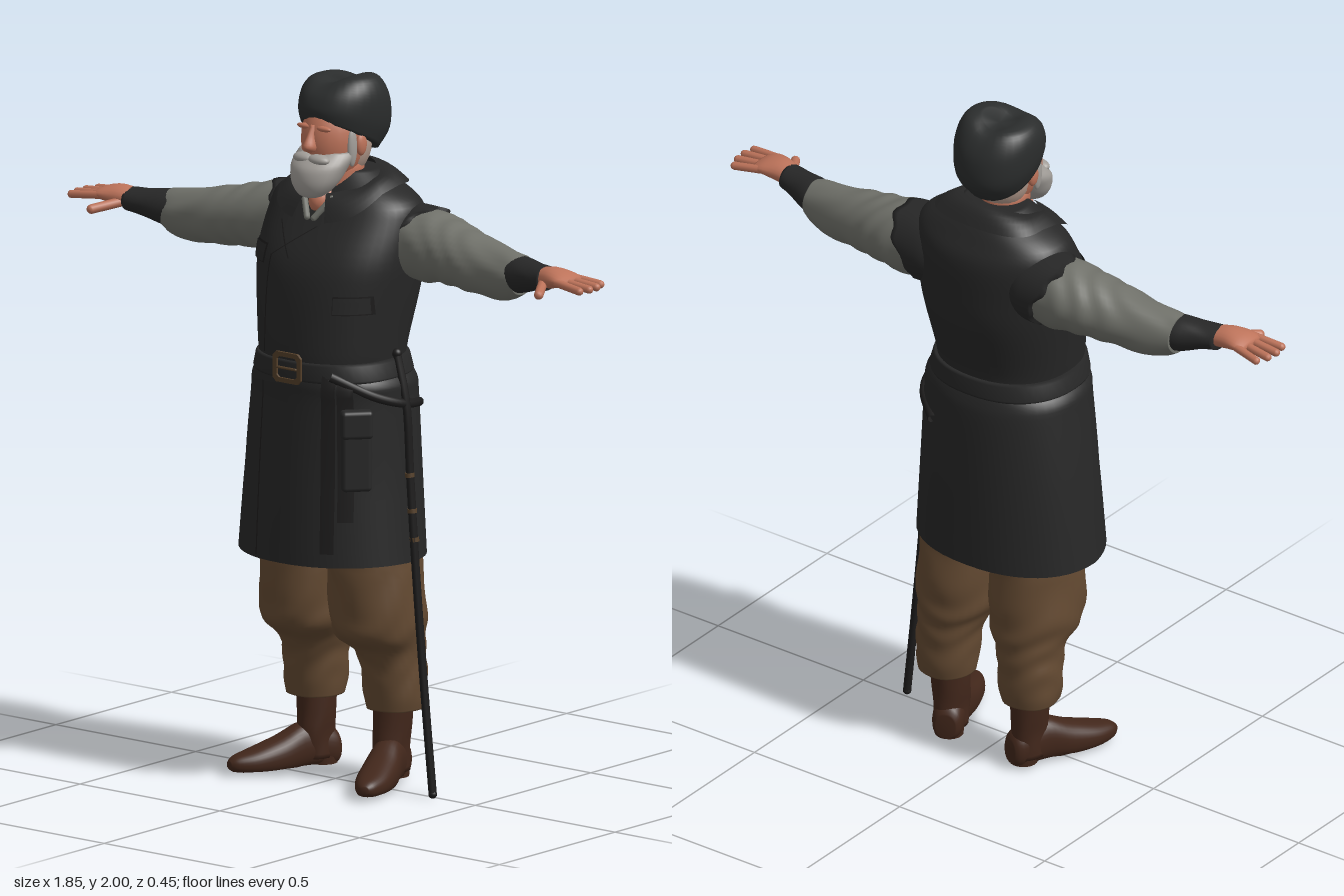
import * as THREE from 'three';
import { ParametricGeometry } from 'three/addons/geometries/ParametricGeometry.js';
import { RoundedBoxGeometry } from 'three/addons/geometries/RoundedBoxGeometry.js';

const colour = (name, hex, double) => {
  const m = new THREE.MeshStandardMaterial({ color: hex });
  m.name = name;
  if (double) m.side = THREE.DoubleSide;
  return m;
};
const V = (x, y, z) => new THREE.Vector3(x, y, z);
const spow = (v, p) => Math.sign(v) * Math.abs(v) ** p;

// Smoothly subdivide a list of rings [t, cA, cB, rA, rB]
function smooth(rings, n) {
  const out = [];
  for (let i = 0; i < rings.length - 1; i++) {
    const p0 = rings[Math.max(i - 1, 0)], p1 = rings[i], p2 = rings[i + 1], p3 = rings[Math.min(i + 2, rings.length - 1)];
    for (let k = 0; k < n; k++) {
      const u = k / n;
      out.push(p1.map((b, c) => b + 0.5 * u * (p2[c] - p0[c] + u * (2 * p0[c] - 5 * b + 4 * p2[c] - p3[c] + u * (3 * (b - p2[c]) + p3[c] - p0[c])))));
    }
  }
  out.push(rings[rings.length - 1]);
  return out;
}

// Skin super-elliptical rings. Axis y: A=x B=z, axis x: A=z B=y, axis z: A=y B=x
function loft(rings, { axis = 'y', n = 4, seg = 32, power = 2, wrinkle = 0, deform, bottom = true } = {}) {
  const rows = smooth(rings, n), pos = [], idx = [];
  const put = (a, t, b, f, th) => {
    const p = axis === 'y' ? V(a, t, b) : axis === 'x' ? V(t, b, a) : V(b, a, t);
    if (deform) deform(p, f, th);
    pos.push(p.x, p.y, p.z);
  };
  rows.forEach(([t, ca, cb, ra, rb], j) => {
    for (let i = 0; i < seg; i++) {
      const th = i / seg * Math.PI * 2;
      const w = 1 + wrinkle * Math.sin(60 * t + 3 * Math.sin(th * 2 + 1) + 2 * Math.cos(th) + 2 * Math.sin(17 * t));
      put(ca + ra * w * spow(Math.sin(th), 2 / power), t, cb + rb * w * spow(Math.cos(th), 2 / power), j / (rows.length - 1), th);
    }
  });
  for (let j = 0; j < rows.length - 1; j++) for (let i = 0; i < seg; i++) {
    const a = j * seg + i, b = j * seg + (i + 1) % seg;
    idx.push(a, b, a + seg, b, b + seg, a + seg);
  }
  const last = (rows.length - 1) * seg, c0 = rows.length * seg;
  put(rows[0][1], rows[0][0], rows[0][2], 0, 0);
  put(rows.at(-1)[1], rows.at(-1)[0], rows.at(-1)[2], 1, 0);
  for (let i = 0; i < seg; i++) {
    const k = (i + 1) % seg;
    if (bottom) idx.push(c0, k, i);
    idx.push(c0 + 1, last + i, last + k);
  }
  const g = new THREE.BufferGeometry();
  g.setAttribute('position', new THREE.Float32BufferAttribute(pos, 3));
  g.setIndex(idx);
  g.computeVertexNormals();
  return g;
}

const COAT = [[0.65, -0.02, 0, 0.28, 0.224], [0.9, -0.014, 0, 0.26, 0.214], [1.1, -0.004, 0, 0.24, 0.203],
  [1.155, 0, 0.005, 0.233, 0.198], [1.195, 0, 0.01, 0.202, 0.188], [1.25, 0, 0.01, 0.206, 0.19], [1.4, 0, -0.014, 0.228, 0.203],
  [1.5, 0, -0.028, 0.24, 0.194], [1.6, 0, -0.055, 0.24, 0.162], [1.655, 0, -0.06, 0.22, 0.13], [1.7, 0, -0.06, 0.14, 0.1], [1.73, 0, -0.055, 0.09, 0.07]];
const COAT_POWER = 2.25, coatRows = smooth(COAT, 4);
// The skirt narrows towards its front corners
const skirtScale = (y, z) => 1 - 0.6 * Math.max(0, z) * Math.min(1, Math.max(0, (1.2 - y) / 0.3));

// Front surface of the coat at a given x, y
function coatZ(x, y) {
  const j = Math.max(1, coatRows.findIndex(r => r[0] >= y)), a = coatRows[j - 1], b = coatRows[j];
  const [, cx, cz, rx, rz] = a.map((v, k) => v + (b[k] - v) * (y - a[0]) / (b[0] - a[0]));
  let z = 0.18;
  for (let k = 0; k < 3; k++) {
    const q = Math.min(1, Math.abs((x / skirtScale(y, z) - cx) / rx));
    z = cz + rz * (1 - q ** COAT_POWER) ** (1 / COAT_POWER);
  }
  return z;
}

// Thin plate lying on the coat front, corners: top left, top right, bottom left, bottom right
function patch([tl, tr, bl, br], lift) {
  const g = new THREE.PlaneGeometry(1, 1, 6, 20), p = g.attributes.position;
  for (let i = 0; i < p.count; i++) {
    const u = p.getX(i) + 0.5, v = p.getY(i) + 0.5;
    const f = k => (tl[k] * (1 - u) + tr[k] * u) * v + (bl[k] * (1 - u) + br[k] * u) * (1 - v);
    p.setXYZ(i, f(0), f(1), coatZ(f(0), f(1)) + lift);
  }
  g.computeVertexNormals();
  return g;
}

export function createModel() {
  const model = new THREE.Group();
  const coat = colour('coatCharcoal', 0x272727, true), sleeve = colour('sleeveGrey', 0x70716a), trouser = colour('trouserBrown', 0x644a32),
    boot = colour('bootBrown', 0x42271b), skin = colour('skin', 0xbd735a), hair = colour('hairGrey', 0xa19d98), stubble = colour('stubble', 0xb39a8c),
    leather = colour('leatherBlack', 0x1d1c1c, true), brass = colour('brass', 0x55402a), hatCloth = colour('hatCloth', 0x2b2d2d);

  const add = (name, geo, mat) => {
    const m = new THREE.Mesh(geo, mat);
    m.name = name;
    model.add(m);
    return m;
  };
  // Add a part on the left and its mirror on the right
  const pair = (name, geo, mat) => {
    add('left' + name, geo, mat);
    const g = geo.clone().scale(-1, 1, 1), ix = g.index.array;
    for (let i = 0; i < ix.length; i += 3) [ix[i], ix[i + 1]] = [ix[i + 1], ix[i]];
    add('right' + name, g, mat);
  };
  const ball = (x, y, z, rx, ry, rz) => new THREE.SphereGeometry(1, 20, 14).scale(rx, ry, rz).translate(x, y, z);
  const rod = (a, b, r) => {
    const d = b.clone().sub(a);
    return new THREE.CapsuleGeometry(r, d.length(), 4, 10)
      .applyQuaternion(new THREE.Quaternion().setFromUnitVectors(V(0, 1, 0), d.clone().normalize()))
      .translate((a.x + b.x) / 2, (a.y + b.y) / 2, (a.z + b.z) / 2);
  };
  const tube = (pts, r) => new THREE.TubeGeometry(new THREE.CatmullRomCurve3(pts.map(p => V(...p))), 30, r, 8);

  // Coat body, ragged shoulder caps and folded collar
  add('coat', loft(COAT, { power: COAT_POWER, seg: 48, bottom: false, deform: p => { p.x *= skirtScale(p.y, p.z); } }), coat);
  pair('ShoulderCap', loft([[0.1, -0.08, 1.55, 0.09, 0.085], [0.15, -0.088, 1.542, 0.106, 0.102], [0.18, -0.09, 1.538, 0.109, 0.108], [0.21, -0.09, 1.536, 0.108, 0.108]], {
    axis: 'x', seg: 48,
    deform: (p, f, th) => { p.x += f * f * (0.075 * Math.max(0, Math.cos(th + 0.3)) + 0.007 * Math.sin(th * 9)); }
  }), coat);
  add('collar', new ParametricGeometry((u, v, p) => {
    const a = 0.3 + u * (Math.PI * 2 - 0.6), c = Math.cos(a), s = Math.sin(a);
    const top = V(0.095 * s, 1.71 - 0.035 * c, -0.04 + (c > 0 ? 0.12 : 0.08) * c);
    const low = V(0.17 * spow(s, 0.9), 1.695 - 0.095 * Math.max(0, c) ** 0.8, -0.05 + (c > 0 ? 0.172 : 0.125) * spow(c, 0.5));
    p.copy(top).lerp(low, v);
    p.y += 0.015 * Math.sin(v * Math.PI);
  }, 48, 6), coat);
  add('throat', ball(0, 1.65, 0.03, 0.042, 0.05, 0.07), skin);
  pair('ShirtCollar', rod(V(0.05, 1.665, 0.075), V(0.012, 1.61, 0.108), 0.009), sleeve);

  // Coat seams, lapel edge and pocket flaps
  const line = (x0, y0, x1, y1, w = 0.005) => add('coatSeam', patch([[x0 - w / 2, y0], [x0 + w / 2, y0], [x1 - w / 2, y1], [x1 + w / 2, y1]], 0.003), leather);
  line(-0.1, 1.5, -0.1, 1.23);
  line(-0.1, 1.15, -0.105, 0.66);
  line(-0.105, 1.59, -0.03, 1.5);
  line(0.03, 1.59, -0.1, 1.5);
  for (const [x0, x1, y0, y1] of [[-0.205, -0.13, 1.475, 1.52], [0.13, 0.205, 1.365, 1.41]]) {
    const quad = e => [[x0 - e, y1 + e], [x1 + e, y1 + e], [x0 - e, y0 - e], [x1 + e, y0 - e]];
    add('pocketFlapEdge', patch(quad(0.004), 0.004), leather);
    add('pocketFlap', patch(quad(0), 0.008), coat);
  }

  // Sleeves and cuffs
  pair('Sleeve', loft([[0.15, -0.085, 1.545, 0.1, 0.098], [0.25, -0.09, 1.537, 0.104, 0.104], [0.34, -0.085, 1.532, 0.1, 0.092], [0.44, -0.07, 1.518, 0.086, 0.083],
    [0.54, -0.06, 1.506, 0.071, 0.076], [0.6, -0.052, 1.506, 0.062, 0.066], [0.63, -0.05, 1.512, 0.055, 0.055]], { axis: 'x', n: 8, wrinkle: 0.024 }), sleeve);
  pair('Cuff', loft([[0.6, -0.048, 1.513, 0.054, 0.053], [0.64, -0.043, 1.516, 0.056, 0.05], [0.7, -0.027, 1.523, 0.048, 0.038], [0.745, -0.017, 1.527, 0.044, 0.034]], { axis: 'x', wrinkle: 0.01 }), coat);

  // Hands
  pair('Palm', loft([[0.72, -0.018, 1.528, 0.034, 0.028], [0.77, -0.01, 1.535, 0.043, 0.03], [0.815, -0.007, 1.537, 0.052, 0.021], [0.845, -0.006, 1.533, 0.048, 0.011]], { axis: 'x', seg: 20 }), skin);
  [[-0.047, -0.06, 0.898], [-0.019, -0.026, 0.912], [0.009, 0.009, 0.915], [0.034, 0.043, 0.908]].forEach(([z0, z1, x], i) =>
    pair('Finger' + (i + 1), rod(V(0.82, 1.535, z0), V(x, 1.526, z1), 0.0115), skin));
  pair('Thumb', rod(V(0.755, 1.522, 0.015), V(0.8, 1.508, 0.088), 0.0135), skin);

  // Head
  add('neck', loft([[1.62, 0, -0.02, 0.07, 0.07], [1.76, 0, -0.015, 0.068, 0.075]]), skin);
  add('head', ball(0, 1.82, 0.003, 0.086, 0.125, 0.105), skin);
  add('nose', loft([[1.797, 0, 0.102, 0.013, 0.02], [1.812, 0, 0.108, 0.018, 0.027], [1.84, 0, 0.1, 0.011, 0.02], [1.87, 0, 0.089, 0.009, 0.013]], { seg: 14 }), skin);
  pair('Ear', ball(0.088, 1.81, -0.005, 0.012, 0.032, 0.02), skin);
  pair('Brow', ball(0.034, 1.862, 0.092, 0.026, 0.008, 0.01), skin);
  add('backHair', ball(0, 1.805, -0.03, 0.084, 0.105, 0.08), stubble);
  pair('Sideburn', ball(0.08, 1.805, 0.025, 0.011, 0.055, 0.018), hair);
  add('beard', loft([[1.668, 0, 0.105, 0.02, 0.018], [1.68, 0, 0.1, 0.045, 0.04], [1.712, 0, 0.086, 0.07, 0.064], [1.75, 0, 0.066, 0.083, 0.077], [1.775, 0, 0.045, 0.087, 0.073], [1.793, 0, 0.028, 0.085, 0.068]], { wrinkle: 0.012 }), hair);
  pair('Moustache', ball(0.026, 1.775, 0.103, 0.036, 0.016, 0.022), hair);

  // Soft hat, raised at the front, with a creased crown
  add('hat', loft([[1.835, -0.004, -0.023, 0.1, 0.11], [1.88, -0.004, -0.042, 0.115, 0.133], [1.93, -0.004, -0.048, 0.119, 0.126], [1.965, -0.005, -0.048, 0.112, 0.105], [1.99, -0.006, -0.048, 0.092, 0.076], [2.0, -0.006, -0.048, 0.05, 0.042]], {
    power: 2.2,
    deform: (p, f) => {
      p.y += p.z * 0.52 * (1 - f) ** 2 + f * f * (p.x * 0.1 - 0.006 - 0.024 * Math.exp(-(((p.x + 0.012) / 0.04) ** 2)));
    }
  }), hatCloth);

  // Trousers and boots
  pair('TrouserLeg', loft([[0.21, 0.142, -0.088, 0.078, 0.08], [0.25, 0.142, -0.088, 0.086, 0.086], [0.32, 0.14, -0.085, 0.088, 0.09], [0.38, 0.133, -0.073, 0.094, 0.102], [0.43, 0.126, -0.042, 0.115, 0.135],
    [0.5, 0.125, -0.033, 0.123, 0.142], [0.6, 0.122, -0.027, 0.121, 0.137], [0.75, 0.115, -0.02, 0.115, 0.13]], { n: 6, power: 2.2, wrinkle: 0.022 }), trouser);
  pair('BootShaft', loft([[0.03, 0.135, -0.085, 0.045, 0.055], [0.1, 0.135, -0.08, 0.046, 0.06], [0.16, 0.135, -0.083, 0.05, 0.06], [0.25, 0.137, -0.085, 0.055, 0.062]], { wrinkle: 0.02 }), boot);
  const place = g => g.rotateY(0.4).translate(0.135, 0, -0.085);
  pair('BootFoot', place(loft([[-0.062, 0.05, 0, 0.035, 0.028], [-0.04, 0.056, 0, 0.055, 0.043], [0.04, 0.066, 0, 0.066, 0.045], [0.12, 0.046, 0, 0.053, 0.052], [0.2, 0.035, 0, 0.037, 0.048], [0.255, 0.032, 0, 0.024, 0.03], [0.275, 0.032, 0, 0.01, 0.012]],
    { axis: 'z', power: 2.3, deform: p => { p.y = Math.max(p.y, 0.012); } })), boot);
  pair('BootHeel', place(new THREE.CylinderGeometry(0.042, 0.04, 0.025, 20).translate(0, 0.022, -0.018)), boot);

  // Belt with buckle
  add('belt', loft([[1.168, 0, 0.008, 0.221, 0.197], [1.175, 0, 0.008, 0.223, 0.199], [1.215, 0, 0.01, 0.212, 0.195], [1.222, 0, 0.01, 0.207, 0.192]], { n: 1, power: COAT_POWER, seg: 48 }), coat);
  const octagon = (x, y, c) => [[-x + c, -y], [x - c, -y], [x, -y + c], [x, y - c], [x - c, y], [-x + c, y], [-x, y - c], [-x, -y + c]].map(p => new THREE.Vector2(...p));
  const frame = new THREE.Shape(octagon(0.05, 0.043, 0.012));
  frame.holes.push(new THREE.Path(octagon(0.036, 0.03, 0.008).reverse()));
  add('buckle', new THREE.ExtrudeGeometry(frame, { depth: 0.008, bevelEnabled: false }).translate(0, 1.202, 0.204), brass);
  add('bucklePin', rod(V(-0.035, 1.2, 0.209), V(0.03, 1.2, 0.209), 0.004), brass);

  // Hanging straps and hip pouch
  add('swordStrap', tube([[0.13, 1.19, 0.18], [0.215, 1.13, 0.09], [0.242, 1.1, 0], [0.208, 1.08, -0.11], [0.12, 1.05, -0.19]], 0.013), leather);
  for (const [x, top, bottom] of [[0.125, 1.2, 0.69], [0.165, 1.17, 0.78]])
    add('hangingStrap', patch([[x - 0.018, top], [x + 0.018, top], [x - 0.012, bottom], [x + 0.022, bottom]], 0.009), leather);
  const pouch = new THREE.Group();
  pouch.name = 'pouch';
  [[0.085, 0.22, 0.035, 0, 0], [0.09, 0.08, 0.045, 0.08, 0.002]].forEach(([w, h, d, y, z], i) => {
    const m = add(i ? 'pouchFlap' : 'pouchBody', new RoundedBoxGeometry(w, h, d, 3, 0.012), coat);
    m.position.set(0, y, z);
    pouch.add(m);
  });
  pouch.position.set(0.195, 0.98, 0.145);
  pouch.rotation.y = 0.85;
  model.add(pouch);

  // Sword in its scabbard
  const path = [[0.21, 1.235, -0.012], [0.247, 1.1, -0.008], [0.264, 0.9, -0.004], [0.288, 0.65, 0.002], [0.322, 0.32, 0.007], [0.358, 0.012, 0.012]];
  add('scabbard', tube(path, 0.0115), leather);
  add('pommel', ball(0.21, 1.235, -0.012, 0.014, 0.014, 0.014), leather);
  add('scabbardTip', ball(0.358, 0.012, 0.012, 0.012, 0.012, 0.012), leather);
  for (const [x, y] of [[0.264, 0.9], [0.273, 0.8], [0.281, 0.72]])
    add('scabbardBand', new THREE.CylinderGeometry(0.0135, 0.0135, 0.012, 12).rotateZ(0.1).translate(x, y, -0.002), brass);
  return model;
}
